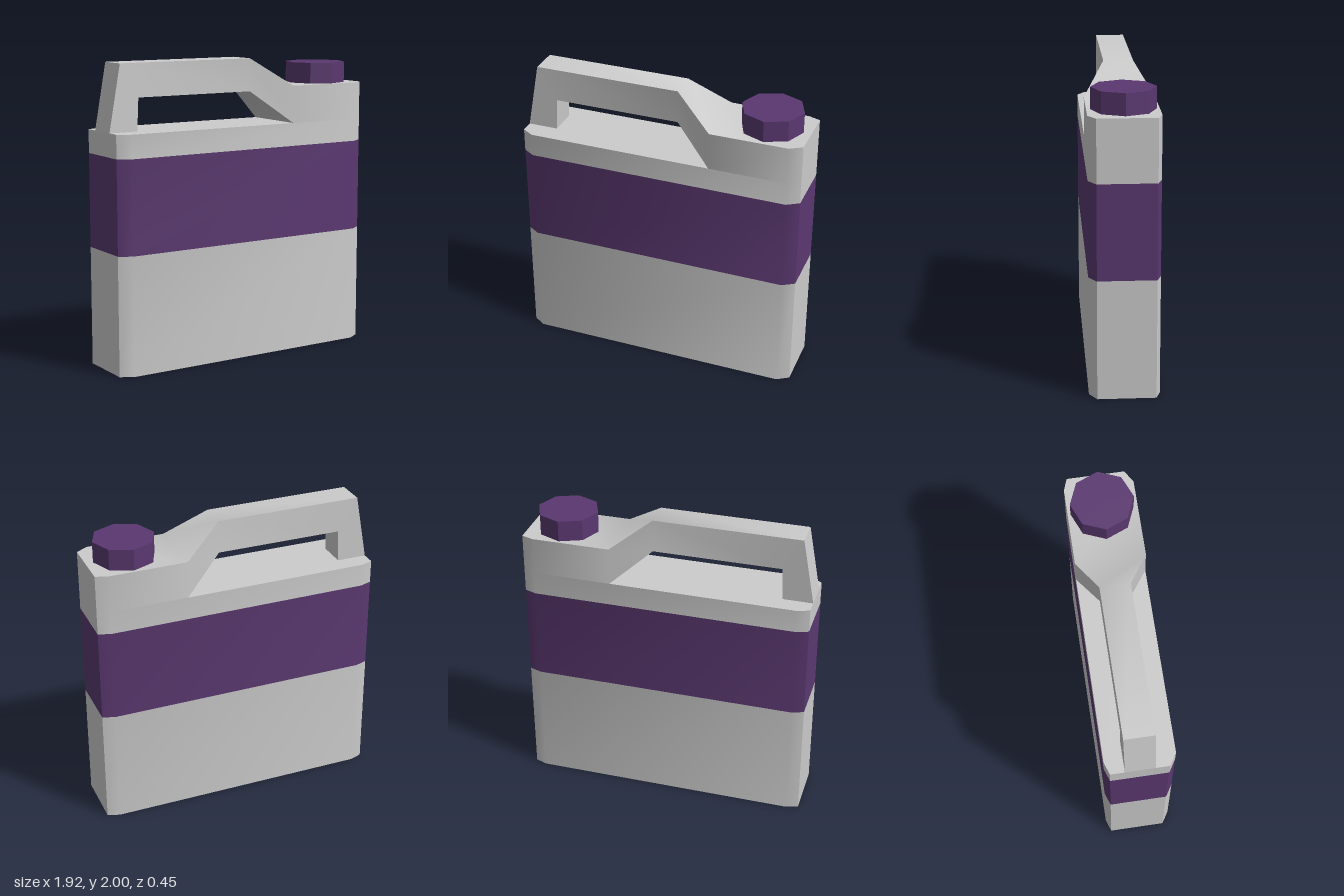
import * as THREE from 'three';
import { mergeGeometries, toCreasedNormals } from 'three/addons/utils/BufferGeometryUtils.js';

// Skin a series of rings of [x, y, z] corners, with optional fan caps
function loft(rings, capStart, capEnd) {
  const pos = [];
  const tri = (a, b, c) => pos.push(...a, ...b, ...c);
  const n = rings[0].length;
  for (let r = 0; r < rings.length - 1; r++) {
    for (let i = 0; i < n; i++) {
      const j = (i + 1) % n;
      tri(rings[r][i], rings[r][j], rings[r + 1][j]);
      tri(rings[r][i], rings[r + 1][j], rings[r + 1][i]);
    }
  }
  const first = rings[0], last = rings[rings.length - 1];
  for (let i = 1; i < n - 1; i++) {
    if (capStart) tri(first[0], first[i + 1], first[i]);
    if (capEnd) tri(last[0], last[i], last[i + 1]);
  }
  const g = new THREE.BufferGeometry();
  g.setAttribute('position', new THREE.Float32BufferAttribute(pos, 3));
  return g;
}

// Upright prism over an [x, z] footprint
const prism = (foot, y0, y1, bottom, top) =>
  loft([y0, y1].map(y => foot.map(([x, z]) => [x, y, z])), bottom, top);

const FRONT = 0.225, BACK = -0.228;
const rightEnd = [[0.88, FRONT], [0.96, 0.175], [0.96, -0.2], [0.88, BACK]];
const bodyFoot = [...rightEnd, [-0.88, BACK], [-0.96, -0.2], [-0.96, 0.175], [-0.88, FRONT]];
const neckFoot = [...rightEnd, [0.36, BACK], [0.36, FRONT]];

export function createModel() {
  const group = new THREE.Group();
  const grey = new THREE.MeshStandardMaterial({ color: 0xcccccc });
  const purple = new THREE.MeshStandardMaterial({ color: 0x5a3870 });
  const capMaterial = new THREE.MeshStandardMaterial({ color: 0x5a3870, flatShading: true });

  const add = (name, geometry, material) => {
    const mesh = new THREE.Mesh(geometry, material);
    mesh.name = name;
    group.add(mesh);
    return mesh;
  };
  const crease = g => toCreasedNormals(g, 0.72);

  // Lower tank and coloured band
  add('lowerBody', crease(prism(bodyFoot, 0, 0.79, true, false)), grey);
  add('band', crease(prism(bodyFoot, 0.79, 1.41, false, false)), purple);

  // Handle sections: outer corner, inner corner, back z, front z
  const handle = loft([
    [-0.96, 1.565, -0.76, 1.565, -0.107, 0.087],
    [-0.88, 2.0, -0.75, 1.78, -0.107, 0.087],
    [0.10, 2.0, 0.10, 1.78, -0.107, 0.087],
    [0.36, 1.815, 0.36, 1.565, BACK, FRONT],
  ].map(([ox, oy, ix, iy, zb, zf]) =>
    [[ix, iy, zb], [ox, oy, zb], [ox, oy, zf], [ix, iy, zf]]), false, false);

  // Shoulder, raised neck block and handle form one moulded top
  add('shoulderAndHandle', crease(mergeGeometries([
    prism(bodyFoot, 1.41, 1.565, false, true),
    prism(neckFoot, 1.565, 1.815, false, true),
    handle,
  ])), grey);

  // Eight-sided screw cap
  const cap = add('cap', new THREE.CylinderGeometry(0.204, 0.204, 0.14, 8), capMaterial);
  cap.position.set(0.705, 1.885, -0.005);

  return group;
}
